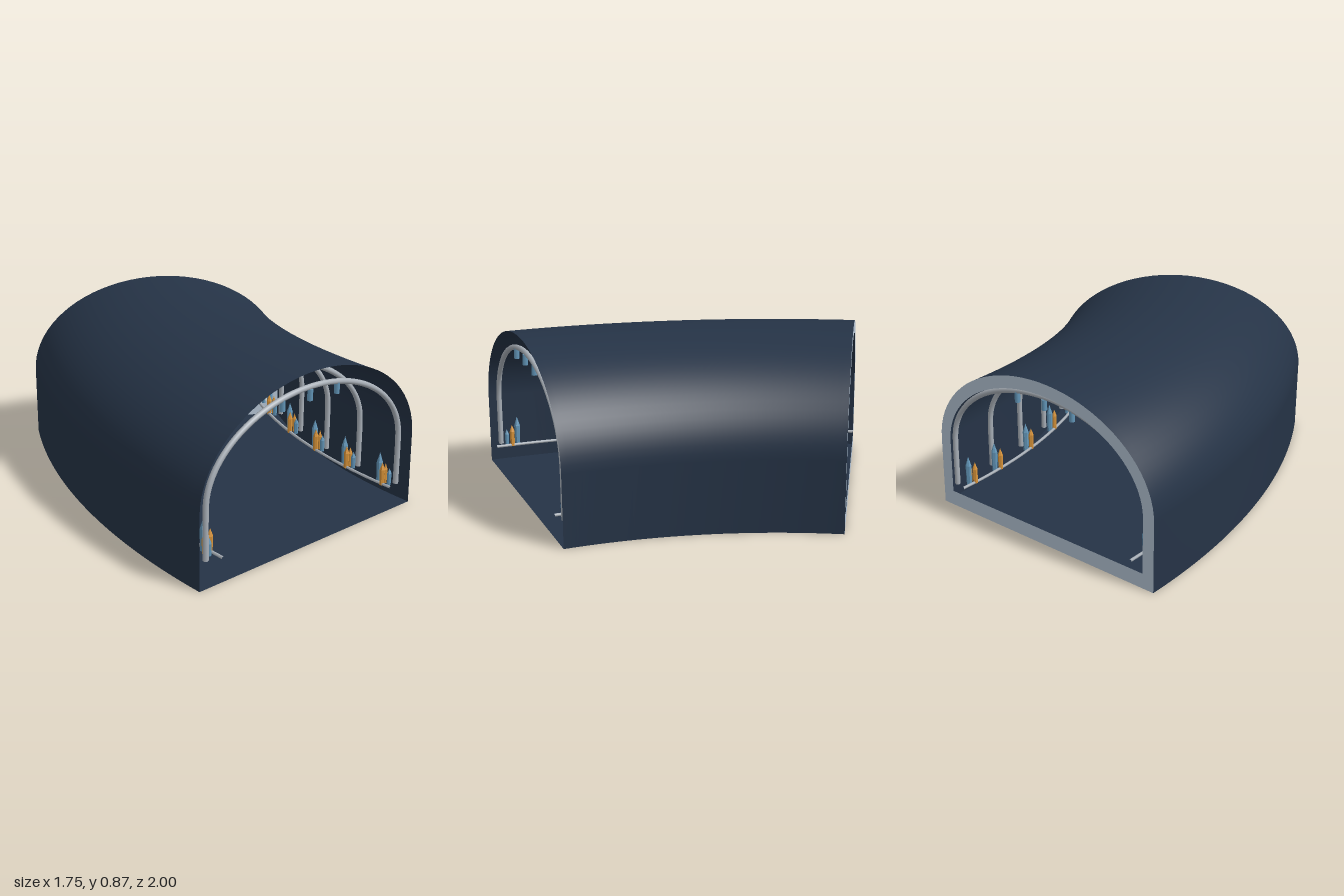
import * as THREE from 'three';

const RADIUS = 3.3, TURN = Math.PI / 6, CENTRE_X = 3.125;
const rad = THREE.MathUtils.degToRad;

const mat = (name, color, side = THREE.FrontSide) => {
  const m = new THREE.MeshStandardMaterial({ color, side });
  m.name = name;
  return m;
};

// Point on the curved tunnel: t = angle along it, u = sideways offset, y = height
function at(t, u, y) {
  const r = RADIUS - u;
  return new THREE.Vector3(CENTRE_X - r * Math.cos(t), y, 1 - r * Math.sin(t));
}

// Arch outline from left foot to right foot: straight walls, elliptical crown
function arch(half, foot, spring, top, steps = 40) {
  const pts = [[-half, foot]];
  for (let i = 0; i <= steps; i++) {
    const a = Math.PI * (1 - i / steps);
    pts.push([half * Math.cos(a), spring + (top - spring) * Math.sin(a)]);
  }
  pts.push([half, foot]);
  return pts;
}

// Open surface swept along the bend
function sweep(profile, steps = 40) {
  const pos = [], index = [], n = profile.length;
  for (let j = 0; j <= steps; j++)
    for (const [u, y] of profile) pos.push(...at(TURN * j / steps, u, y).toArray());
  for (let j = 0; j < steps; j++)
    for (let i = 0; i < n - 1; i++) {
      const a = j * n + i, b = a + 1, c = a + n, d = c + 1;
      index.push(a, b, c, b, d, c);
    }
  const g = new THREE.BufferGeometry();
  g.setAttribute('position', new THREE.Float32BufferAttribute(pos, 3));
  g.setIndex(index);
  g.computeVertexNormals();
  return g;
}

export function createModel() {
  const model = new THREE.Group();
  model.name = 'curvedTunnel';
  const rock = mat('dark slate', 0x253346, THREE.DoubleSide);
  const rim = mat('pale blue grey', 0xb8c8d8, THREE.DoubleSide);
  const metal = mat('grey metal', 0xa9b0b8);
  const blue = mat('crystal blue', 0x6397ba);
  const amber = mat('crystal amber', 0xd9943a);

  const add = (parent, name, geometry, material) => {
    const m = new THREE.Mesh(geometry, material);
    m.name = name;
    parent.add(m);
    return m;
  };
  const station = (name, t, u = 0, y = 0) => {
    const g = new THREE.Group();
    g.name = name;
    g.position.copy(at(t, u, y));
    g.rotation.y = -t;
    model.add(g);
    return g;
  };

  // Shell and floor
  add(model, 'shell', sweep(arch(0.7, 0, 0.37, 0.872)), rock);
  add(model, 'floor', sweep([[0.7, 0], [-0.7, 0]]), rock);

  // Flat rim around the far opening
  const toVec = pts => pts.map(p => new THREE.Vector2(...p));
  const ring = new THREE.Shape(toVec(arch(0.7, 0, 0.37, 0.872)));
  ring.holes.push(new THREE.Path(toVec(arch(0.635, 0.08, 0.37, 0.807))));
  const ringGeometry = new THREE.ShapeGeometry(ring);
  ringGeometry.rotateY(Math.PI);
  add(station('farEnd', TURN), 'endRim', ringGeometry, rim);

  // Ribs, each with three hanging lamps
  const ribPath = new THREE.CatmullRomCurve3(
    arch(0.628, 0.115, 0.37, 0.785, 28).map(([x, y]) => new THREE.Vector3(x, y, 0)), false, 'centripetal');
  const ribGeometry = new THREE.TubeGeometry(ribPath, 64, 0.014, 8);
  const lampGeometry = new THREE.CylinderGeometry(0.014, 0.014, 0.055, 6);
  for (let i = 0; i < 6; i++) {
    const s = station('ribStation', rad(0.6 + 5.76 * i));
    add(s, 'rib', ribGeometry, metal);
    for (const k of [-1, 0, 1])
      add(s, 'hangingLamp', lampGeometry, blue).position.set(k * 0.175, k ? 0.737 : 0.745, 0);
  }

  // Side rails
  for (const side of [-1, 1]) {
    const pts = [];
    for (let i = 0; i <= 12; i++) pts.push(at(TURN * i / 12, side * 0.56, 0.12));
    add(model, 'rail', new THREE.TubeGeometry(new THREE.CatmullRomCurve3(pts), 48, 0.008, 6), metal);
  }

  // Crystal clusters: [across, along, height, radius, material]
  const crystals = [
    [-0.012, 0.03, 0.09, 0.012, blue],
    [0.014, 0.006, 0.12, 0.014, amber],
    [-0.016, 0.0, 0.105, 0.011, amber],
    [0, -0.026, 0.16, 0.016, blue],
  ];
  const crystal = (h, r) => new THREE.LatheGeometry(
    [[0, 0], [r * 0.85, 0], [r, h * 0.68], [0, h]].map(p => new THREE.Vector2(...p)), 6).toNonIndexed();
  const shapes = crystals.map(([, , h, r]) => {
    const g = crystal(h, r);
    g.computeVertexNormals();
    return g;
  });
  for (const side of [-1, 1])
    for (const deg of [1.4, 6.8, 12.3, 18, 24, 28.2]) {
      const s = station('crystalCluster', rad(deg), side * 0.575, 0.115);
      crystals.forEach(([x, z, , , m], i) => add(s, 'crystal', shapes[i], m).position.set(-side * x, 0, z));
    }

  return model;
}
